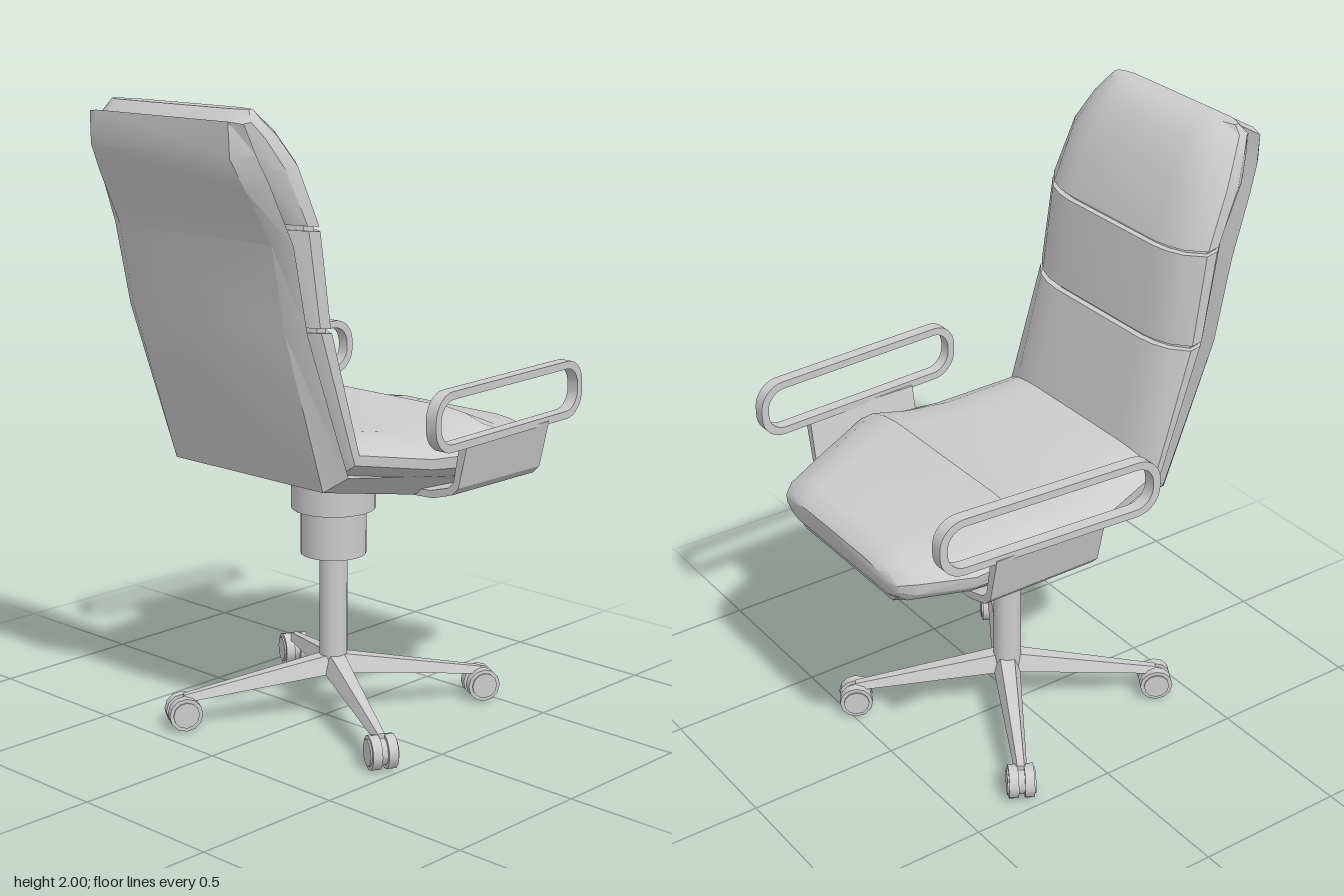
import * as THREE from 'three';
import { toCreasedNormals } from 'three/addons/utils/BufferGeometryUtils.js';

const grey = new THREE.MeshStandardMaterial({ color: 0xcccccc });

function addMesh(parent, name, geometry) {
  const mesh = new THREE.Mesh(geometry, grey);
  mesh.name = name;
  parent.add(mesh);
  return mesh;
}

// Skin a closed solid over rings of [x, y, z] points, faces turned outward
function loft(rings, crease = 0.6) {
  const n = rings[0].length;
  const pts = rings.flat();
  const tris = [];
  for (let i = 0; i < rings.length - 1; i++) {
    for (let j = 0; j < n; j++) {
      const a = i * n + j, b = i * n + (j + 1) % n;
      tris.push([a, b, b + n], [a, b + n, a + n]);
    }
  }
  const last = (rings.length - 1) * n;
  for (let j = 1; j < n - 1; j++) {
    tris.push([0, j + 1, j], [last, last + j, last + j + 1]);
  }
  const v = pts.map((p) => new THREE.Vector3(...p));
  let volume = 0;
  for (const [a, b, c] of tris) volume += v[a].dot(v[b].clone().cross(v[c]));
  if (volume < 0) tris.forEach((t) => t.reverse());
  const g = new THREE.BufferGeometry();
  g.setAttribute('position', new THREE.Float32BufferAttribute(pts.flat(), 3));
  g.setIndex(tris.flat());
  return toCreasedNormals(g, crease);
}

// Half sections: [share of thickness from the sitting side, share of half width]
const cushionSection = [[0, 0.55], [0.04, 0.7], [0.15, 0.85], [0.4, 1], [0.65, 0.99], [0.88, 0.9], [1, 0.8]];
const shellSection = [[0, 1], [1, 0.85]];

// Stations: [sitting-side x, y, rear-side x, y, half width]
function padded(section, stations) {
  const full = [...section, ...section.map(([t, w]) => [t, -w]).reverse()];
  return loft(stations.map(([ax, ay, bx, by, w]) =>
    full.map(([t, k]) => [ax + (bx - ax) * t, ay + (by - ay) * t, k * w])));
}

function roundedRect(Path, cx, cy, hw, hh, r) {
  const p = new Path();
  p.absarc(cx + hw - r, cy + hh - r, r, 0, Math.PI / 2);
  p.absarc(cx - hw + r, cy + hh - r, r, Math.PI / 2, Math.PI);
  p.absarc(cx - hw + r, cy - hh + r, r, Math.PI, Math.PI * 1.5);
  p.absarc(cx + hw - r, cy - hh + r, r, Math.PI * 1.5, Math.PI * 2);
  return p;
}

function createArm(side) {
  const arm = new THREE.Group();
  arm.name = side > 0 ? 'leftArm' : 'rightArm';

  // Flat loop that closes in towards the front
  const shape = roundedRect(THREE.Shape, 0.257, 1.067, 0.377, 0.0925, 0.08);
  shape.holes.push(roundedRect(THREE.Path, 0.257, 1.067, 0.352, 0.068, 0.06));
  const loop = new THREE.ExtrudeGeometry(shape, { depth: 0.04, bevelEnabled: false, curveSegments: 4 });
  const p = loop.attributes.position;
  for (let i = 0; i < p.count; i++) {
    p.setZ(i, p.getZ(i) - 0.02 + side * (0.538 - 0.06 * p.getX(i)));
  }
  loop.computeVertexNormals();
  addMesh(arm, 'armLoop', toCreasedNormals(loop, 0.6));

  // Bent plate from under the seat up to the loop
  const outline = [[0.535, 0.985], [0.5, 0.835], [0.475, 0.81], [0.4, 0.787], [0.15, 0.775],
    [0.15, 0.795], [0.39, 0.81], [0.46, 0.83], [0.48, 0.85], [0.505, 0.985]];
  const plate = new THREE.ExtrudeGeometry(
    new THREE.Shape(outline.map(([z, y]) => new THREE.Vector2(z * side, y))),
    { depth: 0.39, bevelEnabled: false });
  plate.rotateY(-Math.PI / 2).translate(0.45, 0, 0);
  addMesh(arm, 'armBracket', plate);
  return arm;
}

function createLeg() {
  const leg = new THREE.Group();
  leg.name = 'leg';
  const ring = (x, y0, y1, w) => [[x, y0, -w], [x, y1, -w * 0.55], [x, y1, w * 0.55], [x, y0, w]];
  addMesh(leg, 'legBar', loft([ring(0, 0.15, 0.21, 0.045), ring(0.5, 0.09, 0.112, 0.02)], 0.2));

  // Twin-wheel caster
  const wheel = (name, r, width, z) => {
    const g = new THREE.CylinderGeometry(r, r, width, 12);
    g.rotateX(Math.PI / 2).translate(0.5, 0.055, z);
    addMesh(leg, name, g);
  };
  wheel('casterHub', 0.042, 0.09, 0);
  wheel('casterWheel', 0.054, 0.03, 0.025);
  wheel('casterWheel', 0.054, 0.03, -0.025);
  return leg;
}

export function createModel() {
  const chair = new THREE.Group();
  chair.name = 'officeChair';

  addMesh(chair, 'seatCushion', padded(cushionSection, [
    [0.668, 0.89, 0.66, 0.825, 0.27],
    [0.655, 0.905, 0.65, 0.805, 0.32],
    [0.6, 0.932, 0.625, 0.79, 0.36],
    [0.46, 0.945, 0.45, 0.795, 0.44],
    [0.27, 1.02, 0.27, 0.81, 0.49],
    [0.14, 0.985, 0.14, 0.83, 0.48],
    [0, 0.98, 0, 0.85, 0.45],
    [-0.23, 1.02, -0.29, 0.905, 0.385],
  ]));

  // Back upholstery in three pads with narrow grooves between
  const pads = [
    [[-0.23, 1.02, -0.29, 0.905, 0.385], [-0.308, 1.348, -0.465, 1.365, 0.385]],
    [[-0.314, 1.362, -0.468, 1.379, 0.385], [-0.35, 1.646, -0.52, 1.664, 0.385]],
    [[-0.355, 1.66, -0.523, 1.678, 0.385], [-0.42, 1.85, -0.605, 1.83, 0.372],
      [-0.485, 1.945, -0.64, 1.91, 0.34], [-0.53, 1.988, -0.66, 1.955, 0.315],
      [-0.565, 2, -0.62, 2, 0.29]],
  ];
  pads.forEach((stations) => addMesh(chair, 'backCushion', padded(cushionSection, stations)));
  addMesh(chair, 'backCore', padded(cushionSection, [
    [-0.32, 1.3, -0.45, 1.32, 0.37],
    [-0.375, 1.7, -0.53, 1.72, 0.37],
  ]));

  // Thin shell running under the seat and up behind the back
  addMesh(chair, 'shell', padded(shellSection, [
    [0.64, 0.805, 0.625, 0.766, 0.29],
    [0.45, 0.805, 0.45, 0.77, 0.37],
    [0.27, 0.82, 0.27, 0.777, 0.4],
    [0.05, 0.855, 0.04, 0.79, 0.39],
    [-0.29, 0.91, -0.34, 0.865, 0.375],
    [-0.465, 1.36, -0.5, 1.36, 0.38],
    [-0.52, 1.62, -0.55, 1.62, 0.38],
    [-0.595, 1.8, -0.635, 1.78, 0.36],
    [-0.63, 1.88, -0.68, 1.87, 0.345],
    [-0.655, 1.965, -0.67, 1.97, 0.325],
  ]));

  chair.add(createArm(1), createArm(-1));

  // Swivel column: [name, radius, bottom, top]
  const column = [['post', 0.045, 0.16, 0.56], ['collar', 0.105, 0.54, 0.7], ['seatMount', 0.135, 0.69, 0.82]];
  for (const [name, r, y0, y1] of column) {
    const g = new THREE.CylinderGeometry(r, r, y1 - y0, 24);
    addMesh(chair, name, g.translate(0.038, (y0 + y1) / 2, 0));
  }

  // Four-star base
  for (let i = 0; i < 4; i++) {
    const leg = createLeg();
    leg.position.set(0.037, 0, 0.008);
    leg.rotation.y = -(Math.PI * 2 / 3 + i * Math.PI / 2);
    chair.add(leg);
  }
  return chair;
}
